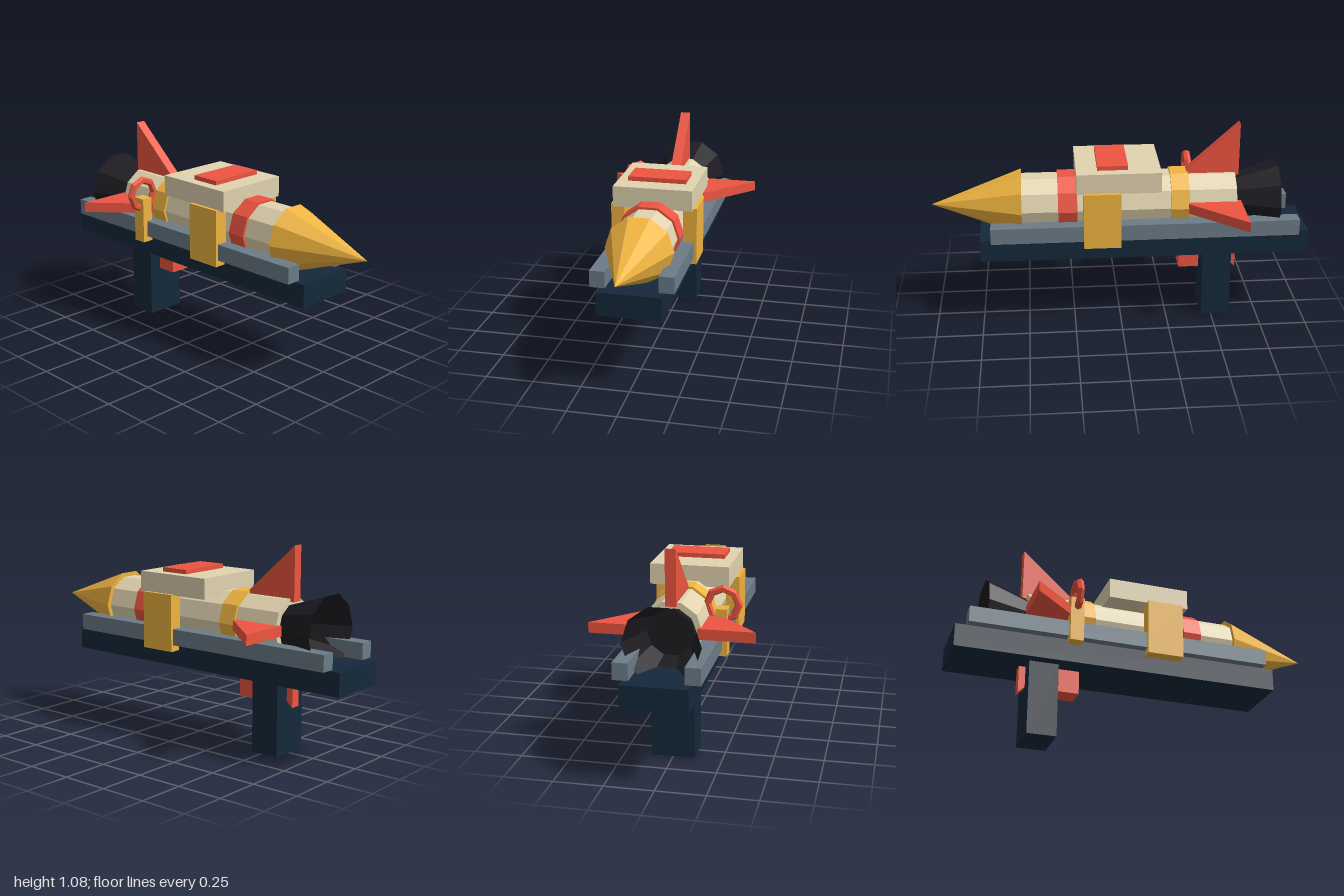
import * as THREE from 'three';

const AXIS_Y = 0.665; // height of the rocket's axis

const mat = (color, extra = {}) =>
  new THREE.MeshStandardMaterial({ color, flatShading: true, ...extra });

export function createModel() {
  const model = new THREE.Group();
  const navy = mat(0x14283a), steel = mat(0x6c7c88), cream = mat(0xe2d4b0);
  const red = mat(0xee5540), yellow = mat(0xf0b440);
  const black = mat(0x1d1b20, { side: THREE.DoubleSide });

  const add = (name, geometry, material, parent = model) => {
    const mesh = new THREE.Mesh(geometry, material);
    mesh.name = name;
    parent.add(mesh);
    return mesh;
  };

  // Box given by its limits on each axis
  const box = (name, [x0, x1], [y0, y1], [z0, z1], material) =>
    add(name, new THREE.BoxGeometry(x1 - x0, y1 - y0, z1 - z0), material)
      .position.set((x0 + x1) / 2, (y0 + y1) / 2, (z0 + z1) / 2);

  // Ten-sided section along x, with its radius at each end
  const rocket = new THREE.Group();
  rocket.name = 'rocket';
  rocket.position.y = AXIS_Y;
  model.add(rocket);
  const section = (name, x0, x1, r0, r1, material, open = false) => {
    const g = new THREE.CylinderGeometry(r1, r0, x1 - x0, 10, 1, open);
    g.rotateZ(-Math.PI / 2);
    g.translate((x0 + x1) / 2, 0, 0);
    add(name, g, material, rocket);
  };

  // Launcher base, grip and trigger
  box('base', [-1, 0.745], [0.395, 0.517], [-0.165, 0.165], navy);
  box('grip', [-0.6, -0.445], [0, 0.395], [-0.11, 0.11], navy);
  box('trigger', [-0.43, -0.32], [0.27, 0.395], [-0.055, 0.055], red);

  // Rails and clamp plates on both sides
  for (const s of [1, -1]) {
    const side = (a, b) => (s > 0 ? [a, b] : [-b, -a]);
    const label = s > 0 ? 'left' : 'right';
    box(label + 'Rail', [-0.94, 0.685], [0.517, 0.603], side(0.134, 0.212), steel);
    box(label + 'Clamp', [0.005, 0.2], [0.483, 0.787], side(0.155, 0.227), yellow);
  }

  // Upper housing with its button
  box('housing', [-0.205, 0.235], [0.783, 0.892], [-0.208, 0.208], cream);
  box('button', [-0.035, 0.125], [0.885, 0.915], [-0.153, 0.153], red);

  // Rocket body, bands, nose and hollow nozzle
  section('body', -0.613, 0.525, 0.153, 0.153, cream);
  section('rearBand', -0.36, -0.265, 0.165, 0.165, yellow);
  section('frontBand', 0.23, 0.33, 0.165, 0.165, red);
  section('noseCone', 0.52, 0.995, 0.177, 0, yellow);
  section('nozzle', -0.84, -0.613, 0.195, 0.12, black, true);
  section('nozzleThroat', -0.625, -0.615, 0.122, 0.12, black);

  // Four swept fins around the axis
  const finShape = new THREE.Shape([
    [-0.635, 0.13], [-0.355, 0.13], [-0.355, 0.163], [-0.635, 0.415],
  ].map(([x, y]) => new THREE.Vector2(x, y)));
  const finGeometry = new THREE.ExtrudeGeometry(finShape, { depth: 0.054, bevelEnabled: false });
  finGeometry.translate(0, 0, -0.027);
  for (let i = 0; i < 4; i++) {
    add('fin' + (i + 1), finGeometry, red, rocket).rotation.x = (i * Math.PI) / 2;
  }

  // Side post carrying a pull ring
  box('ringPost', [-0.422, -0.35], [0.487, 0.732], [0.178, 0.238], yellow);
  const ring = add('pullRing', new THREE.TorusGeometry(0.08, 0.02, 6, 8), red);
  ring.rotation.y = Math.PI / 2;
  ring.position.set(-0.386, 0.75, 0.211);

  return model;
}
